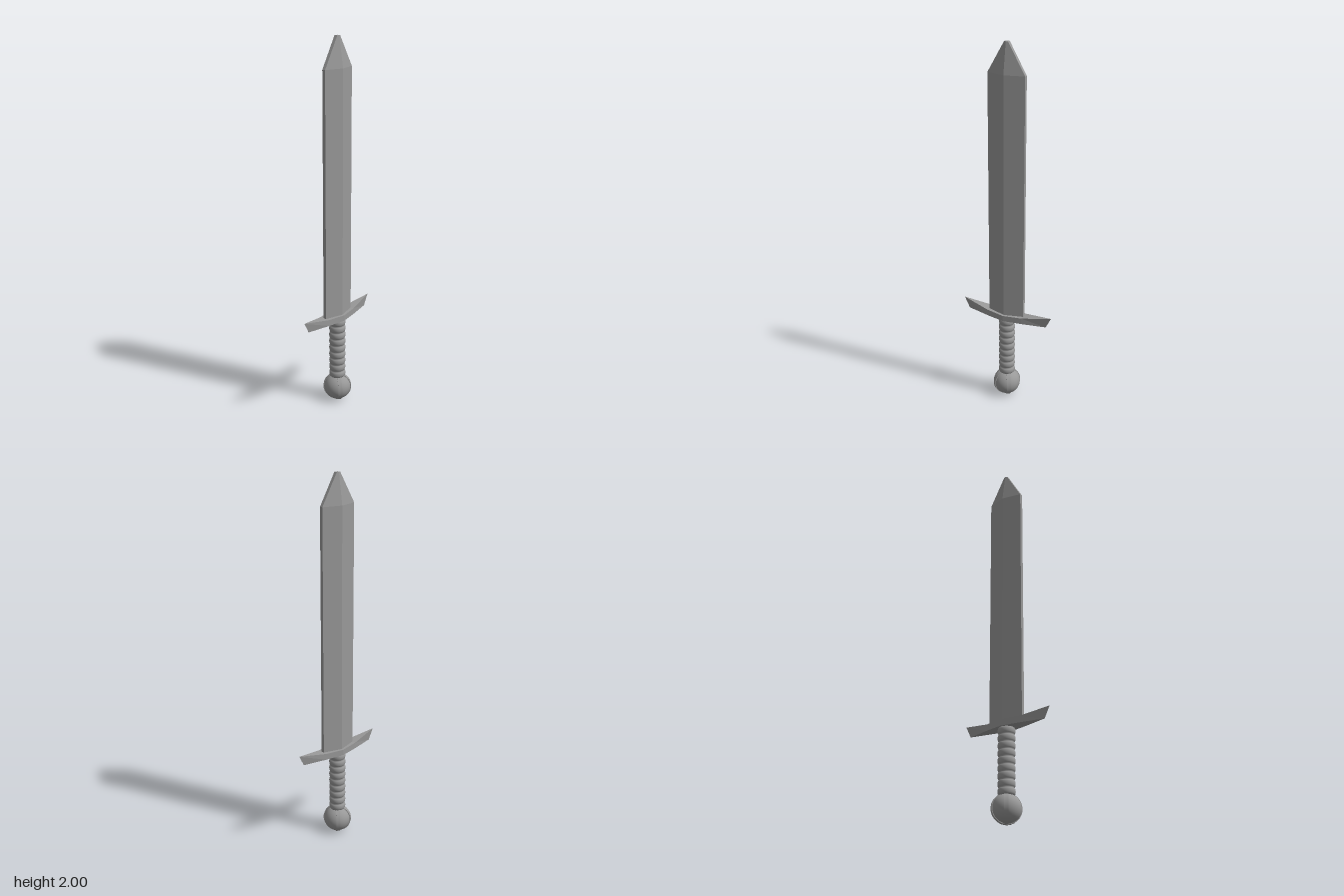
import * as THREE from 'three';

const steel = new THREE.MeshStandardMaterial({ color: 0x999999 });
steel.name = 'grey steel';

// Flat-faced solid through equal-length loops of [x, y, z], capped at both ends
function loft(loops) {
  const pos = [];
  const tri = (...pts) => pts.forEach(p => pos.push(...p));
  const n = loops[0].length;
  for (let s = 0; s < loops.length - 1; s++) {
    const a = loops[s], b = loops[s + 1];
    for (let i = 0; i < n; i++) {
      const j = (i + 1) % n;
      tri(a[i], a[j], b[j]);
      tri(a[i], b[j], b[i]);
    }
  }
  const first = loops[0], last = loops[loops.length - 1];
  for (let i = 1; i < n - 1; i++) {
    tri(first[0], first[i + 1], first[i]);
    tri(last[0], last[i], last[i + 1]);
  }
  const geo = new THREE.BufferGeometry();
  geo.setAttribute('position', new THREE.Float32BufferAttribute(pos, 3));
  geo.computeVertexNormals();
  return geo;
}

export function createModel() {
  const model = new THREE.Group();
  model.name = 'sword';
  const add = (name, geo) => {
    const mesh = new THREE.Mesh(geo, steel);
    mesh.name = name;
    model.add(mesh);
    return mesh;
  };

  // Blade: ridged hexagonal section tapering to a blunt tip
  const bladeLoop = (y, ridge, edge, depth) => [
    [ridge, y, 0], [edge, y, -depth], [-edge, y, -depth],
    [-ridge, y, 0], [-edge, y, depth], [edge, y, depth],
  ];
  add('blade', loft([
    bladeLoop(0.5, 0.037, 0.009, 0.105),
    bladeLoop(1.84, 0.037, 0.009, 0.105),
    bladeLoop(2, 0.012, 0.009, 0.011),
  ]));

  // Guard: long diamond with upswept, undercut points
  const guardLoop = (w, top, zTop, zBottom) => [
    [w, 0.485, zBottom], [w, top, zTop], [-w, top, zTop], [-w, 0.485, zBottom],
  ];
  add('guard', loft([
    guardLoop(0.0005, 0.545, -0.268, -0.237),
    guardLoop(0.031, 0.519, -0.105, -0.105),
    guardLoop(0.05, 0.517, 0, 0),
    guardLoop(0.031, 0.519, 0.105, 0.105),
    guardLoop(0.0005, 0.545, 0.268, 0.237),
  ]));

  // Grip: stack of rounded rings
  const rings = 9, steps = 8, gripBottom = 0.14, gripTop = 0.487;
  const profile = [];
  for (let i = 0; i <= rings * steps; i++) {
    const t = i / steps;
    const bulge = Math.sqrt(Math.abs(Math.sin(Math.PI * t)));
    profile.push(new THREE.Vector2(0.037 + 0.008 * bulge,
      gripBottom + (gripTop - gripBottom) * t / rings));
  }
  add('grip', new THREE.LatheGeometry(profile, 32));

  // Pommel: ball crossed by two raised upright bands
  const pommelY = 0.077;
  add('pommel', new THREE.SphereGeometry(0.074, 32, 24)).position.y = pommelY;
  for (const side of [-1, 1]) {
    const band = new THREE.CylinderGeometry(0.077, 0.077, 0.021, 40);
    band.rotateX(Math.PI / 2);
    band.rotateY(side * 0.65);
    add('pommelBand', band).position.y = pommelY;
  }
  return model;
}
